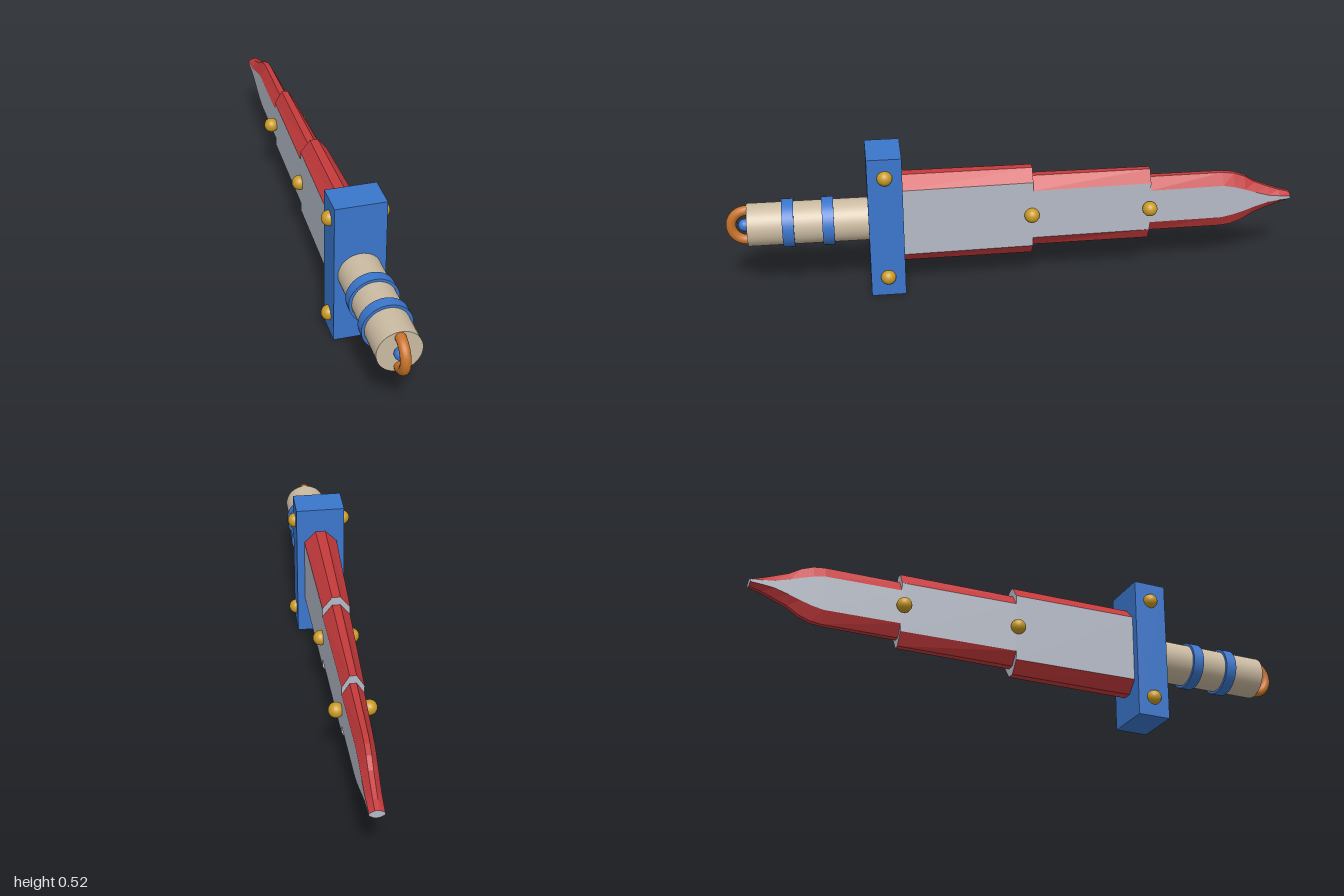
import * as THREE from 'three';

const mat = (name, color, side = THREE.FrontSide) => {
  const m = new THREE.MeshStandardMaterial({ color, side });
  m.name = name;
  return m;
};

const CY = 0.261; // height of the long axis

export function createModel() {
  const blue = mat('blue', 0x3b76cc);
  const red = mat('red', 0xc63a3c);
  const steel = mat('steel', 0xb4bac6);
  const gold = mat('gold', 0xc99a25);
  const beige = mat('beige', 0xcbbba2);
  const orange = mat('orange', 0xc8722a);

  const model = new THREE.Group();
  model.name = 'sword';
  const add = (name, geometry, material, x = 0, y = CY, z = 0, parent = model) => {
    const mesh = new THREE.Mesh(geometry, material);
    mesh.name = name;
    mesh.position.set(x, y, z);
    parent.add(mesh);
    return mesh;
  };

  // Blade: eight-sided sections; the blade thins evenly towards the tip
  const halfWidth = (z) => 0.06 - (0.39 - z) * 0.0255;
  const ring = ([z, h, g]) => {
    const w = halfWidth(z), t = w * 0.3;
    return [[w, g], [t, h], [-t, h], [-w, g], [-w, -g], [-t, -h], [t, -h], [w, -g]]
      .map(([x, y]) => [x, y, z]);
  };
  const toGeometry = (points) => {
    const g = new THREE.BufferGeometry();
    g.setAttribute('position', new THREE.Float32BufferAttribute(points.flat(), 3));
    g.computeVertexNormals();
    return g;
  };
  const bladeSection = (name, profile) => {
    const edges = [], flats = [];
    const rings = profile.map(ring);
    for (let s = 0; s < rings.length - 1; s++) {
      for (let i = 0; i < 8; i++) {
        const j = (i + 1) % 8;
        const a = rings[s][i], b = rings[s][j], c = rings[s + 1][j], d = rings[s + 1][i];
        (i === 3 || i === 7 ? flats : edges).push(a, d, c, a, c, b);
      }
    }
    // Far end face, in steel
    const end = rings[rings.length - 1];
    for (let i = 1; i < 7; i++) flats.push(end[0], end[i + 1], end[i]);
    const group = new THREE.Group();
    group.name = name;
    add('bladeEdges', toGeometry(edges), red, 0, CY + 0.003, 0, group);
    add('bladeFlats', toGeometry(flats), steel, 0, CY + 0.003, 0, group);
    model.add(group);
  };
  // Rows of z, half height, half height of the flat side
  bladeSection('bladeBase', [[0.4, 0.166, 0.123], [-0.065, 0.166, 0.123]]);
  bladeSection('bladeMiddle', [[-0.06, 0.135, 0.091], [-0.485, 0.135, 0.091]]);
  bladeSection('bladeTip', [
    [-0.48, 0.105, 0.062], [-0.75, 0.105, 0.062], [-0.79, 0.1, 0.054], [-0.83, 0.085, 0.042],
    [-0.87, 0.06, 0.028], [-0.92, 0.04, 0.013], [-0.96, 0.025, 0.008], [-1, 0.014, 0.005],
  ]);

  // Guard
  add('guard', new THREE.BoxGeometry(0.176, 0.52, 0.12), blue, 0, 0.26, 0.45);

  // Gold studs on both sides of the guard and blade
  const stud = new THREE.SphereGeometry(0.0265, 24, 16);
  for (const side of [1, -1]) {
    for (const y of [0.071, 0.451]) add('guardStud', stud, gold, side * 0.088, y, 0.45);
    for (const z of [-0.06, -0.48]) add('bladeStud', stud, gold, side * 0.055, CY + 0.003, z);
  }

  // Grip with two raised bands
  const alongZ = (r, length) => new THREE.CylinderGeometry(r, r, length, 40).rotateX(Math.PI / 2);
  add('grip', alongZ(0.075, 0.425), beige, 0, CY, 0.7125);
  for (const z of [0.648, 0.785]) add('gripBand', alongZ(0.0845, 0.04), blue, 0, CY, z);

  // Pommel ring standing upright, with a small blue bead inside
  add('pommelRing', new THREE.TorusGeometry(0.056, 0.0175, 16, 40).rotateY(Math.PI / 2),
    orange, 0, CY, 0.9265);
  add('pommelBead', new THREE.SphereGeometry(0.022, 20, 14), blue, 0, CY, 0.936);

  return model;
}
